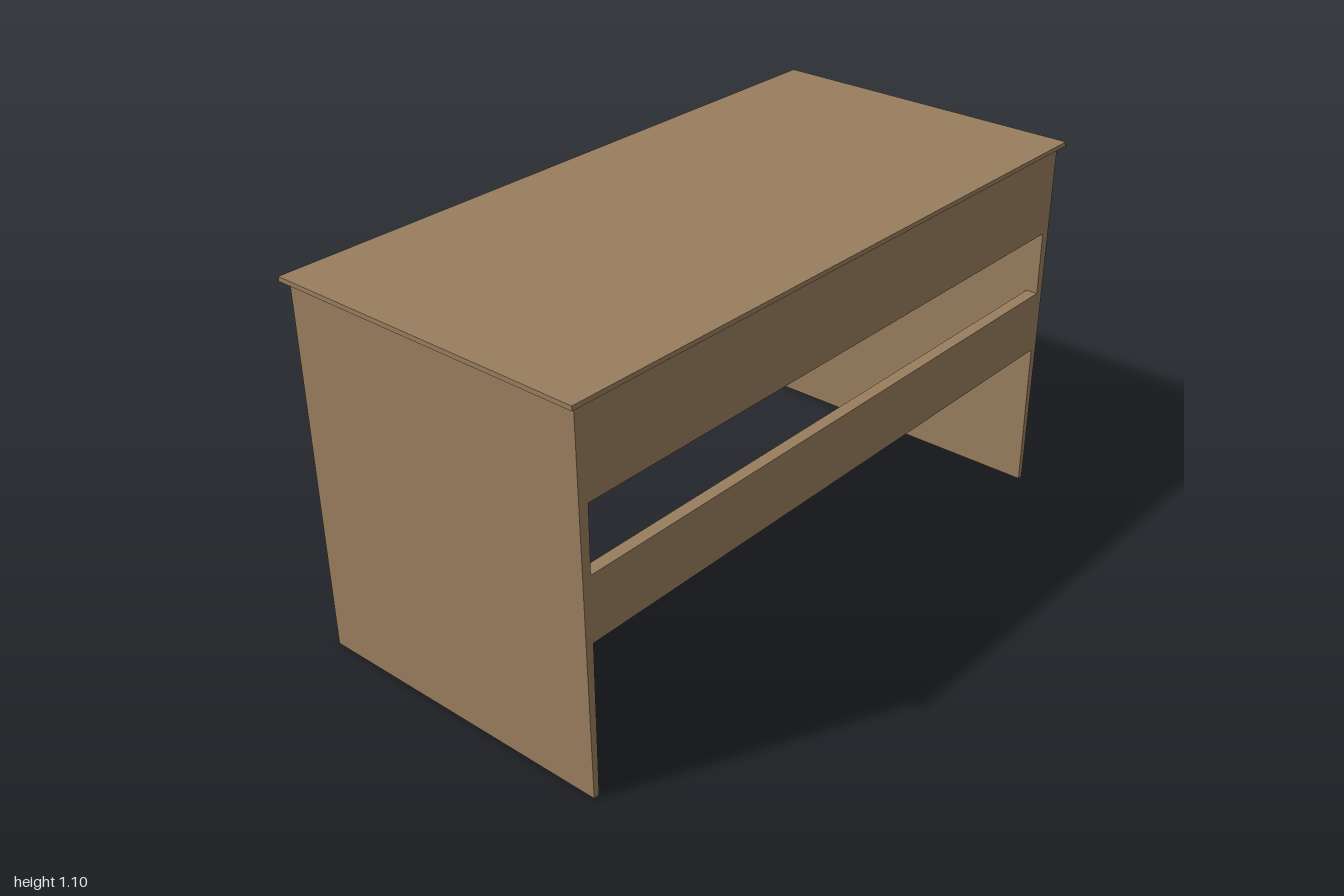
import * as THREE from 'three';

const TOP_Y = 1.097, LEG_H = 1.084, LEG_Z = 0.472, INNER_X = 0.947;

export function createModel() {
  const desk = new THREE.Group();
  desk.name = 'desk';
  const wood = new THREE.MeshStandardMaterial({ color: 0x997e5e });
  wood.name = 'wood';

  const add = (name, geometry, x, y, z) => {
    const mesh = new THREE.Mesh(geometry, wood);
    mesh.name = name;
    mesh.position.set(x, y, z);
    desk.add(mesh);
  };

  // Thin overhanging top
  const topThickness = TOP_Y - LEG_H;
  add('desktop', new THREE.BoxGeometry(2, topThickness, 0.974), 0, TOP_Y - topThickness / 2, 0);

  // Side panels: upright inside face, outside face leaning out towards the top
  for (const [name, side] of [['leftPanel', 1], ['rightPanel', -1]]) {
    const section = new THREE.Shape([
      [INNER_X, 0], [0.964, 0], [0.98, LEG_H], [INNER_X, LEG_H],
    ].map(([x, y]) => new THREE.Vector2(side * x, y)));
    const panel = new THREE.ExtrudeGeometry(section, { depth: 2 * LEG_Z, bevelEnabled: false });
    add(name, panel, 0, 0, -LEG_Z);
  }

  // Front rails, flush with the panels' front edges
  const railDepth = 0.035;
  for (const [name, low, high] of [['upperRail', 0.827, LEG_H], ['lowerRail', 0.45, 0.637]]) {
    add(name, new THREE.BoxGeometry(2 * INNER_X, high - low, railDepth),
      0, (low + high) / 2, LEG_Z - railDepth / 2);
  }

  return desk;
}
